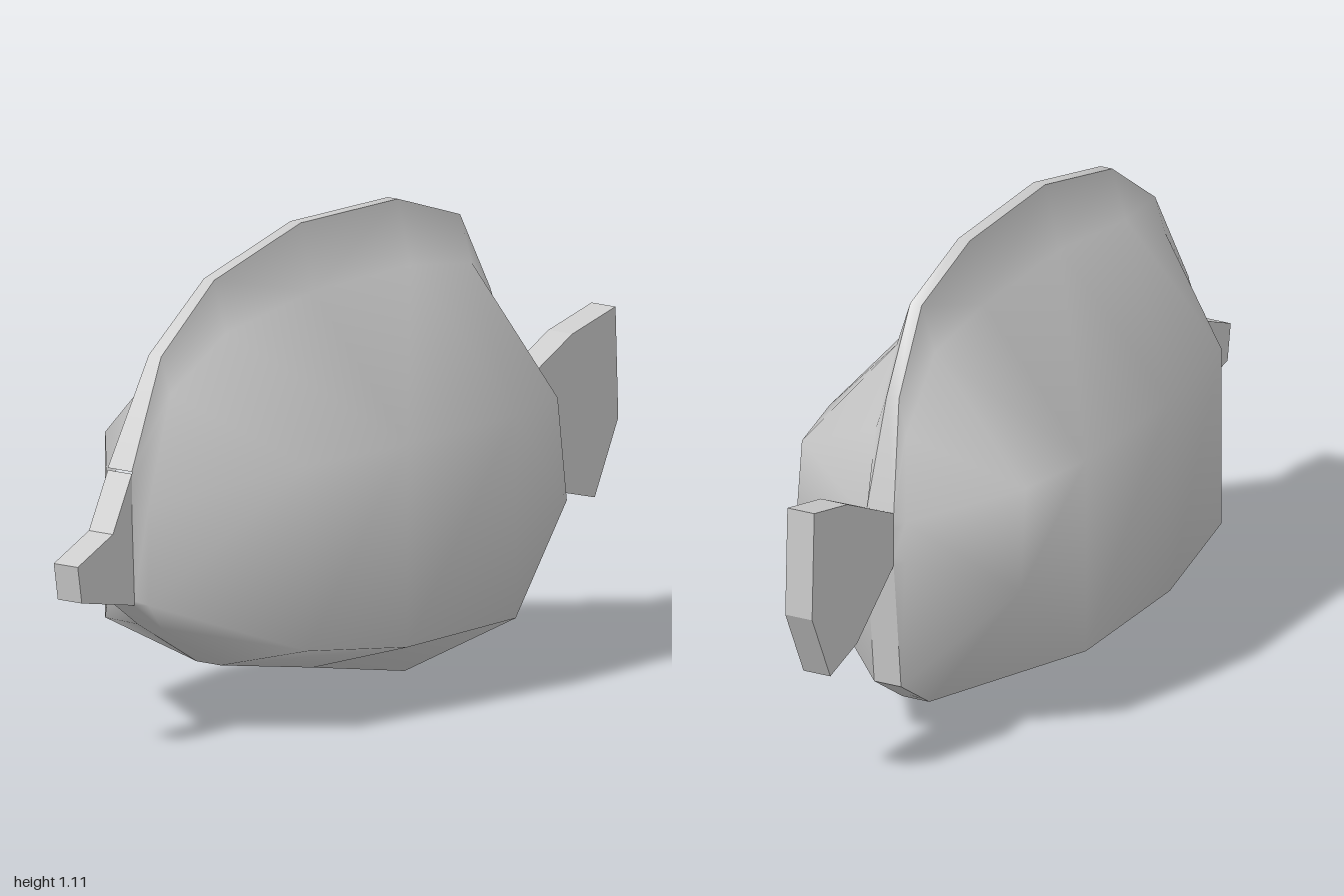
import * as THREE from 'three';

const material = new THREE.MeshStandardMaterial({ color: 0xcccccc });

// Long lines of the left flank, back ridge to belly keel: [x, y, half thickness], nose to tail
const lines = [
  [[-0.8, 0.64, 0.035], [-0.67, 0.885, 0.018], [-0.47, 1.03, 0.015], [-0.15, 1.11, 0.015],
    [0.21, 1.105, 0.015], [0.44, 1.03, 0.015], [0.55, 0.84, 0.016], [0.61, 0.58, 0.035]],
  [[-0.8, 0.6, 0.035], [-0.67, 0.8, 0.045], [-0.47, 0.91, 0.05], [-0.15, 0.955, 0.053],
    [0.21, 0.955, 0.053], [0.44, 0.92, 0.05], [0.56, 0.755, 0.04], [0.61, 0.56, 0.035]],
  [[-0.8, 0.55, 0.035], [-0.77, 0.555, 0.06], [-0.48, 0.635, 0.295], [-0.16, 0.635, 0.335],
    [0.24, 0.635, 0.335], [0.45, 0.635, 0.292], [0.595, 0.555, 0.058], [0.61, 0.54, 0.035]],
  [[-0.79, 0.335, 0.035], [-0.77, 0.325, 0.06], [-0.48, 0.2, 0.295], [-0.16, 0.16, 0.335],
    [0.24, 0.16, 0.335], [0.48, 0.39, 0.295], [0.598, 0.46, 0.058], [0.61, 0.47, 0.035]],
  [[-0.79, 0.325, 0.035], [-0.69, 0.255, 0.035], [-0.47, 0.13, 0.035], [-0.13, 0.067, 0.035],
    [0.21, 0.001, 0.035], [0.44, 0.047, 0.035], [0.575, 0.135, 0.035], [0.61, 0.45, 0.035]],
];

// Smooth surface through parallel lines of points, each cell split so that it bulges outward
function skin(name, rows) {
  const n = rows[0].length;
  const points = rows.flat();
  const bulge = (a, b) => Math.abs(points[a][2]) + Math.abs(points[b][2]);
  const index = [];
  for (let j = 0; j < rows.length - 1; j++) {
    for (let i = 0; i < n - 1; i++) {
      const a = j * n + i, b = a + n, c = b + 1, d = a + 1;
      if (bulge(a, c) > bulge(b, d)) index.push(a, b, c, a, c, d);
      else index.push(a, b, d, b, c, d);
    }
  }
  const geometry = new THREE.BufferGeometry();
  geometry.setAttribute('position', new THREE.Float32BufferAttribute(points.flat(), 3));
  geometry.setIndex(index);
  geometry.computeVertexNormals();
  const mesh = new THREE.Mesh(geometry, material);
  mesh.name = name;
  return mesh;
}

// Flat plate cut from an outline in the xy plane
function plate(name, outline) {
  const shape = new THREE.Shape(outline.map(([x, y]) => new THREE.Vector2(x, y)));
  const geometry = new THREE.ExtrudeGeometry(shape, { depth: 0.07, bevelEnabled: false });
  geometry.translate(0, 0, -0.035);
  const mesh = new THREE.Mesh(geometry, material);
  mesh.name = name;
  return mesh;
}

export function createModel() {
  const group = new THREE.Group();
  group.name = 'fish';

  // Body: two smooth flanks joined by the narrow back ridge and belly keel
  const right = lines.map((line) => line.map(([x, y, z]) => [x, y, -z]));
  const keel = [lines.at(-1), right.at(-1)];
  group.add(
    skin('leftFlank', lines),
    skin('rightFlank', [...right].reverse()),
    skin('backRidge', [right[0], lines[0]]),
    skin('bellyKeel', keel.map((line) => line.slice(0, 7))),
    skin('rearKeel', keel.map((line) => line.slice(6))),
  );

  // Snout and tail fin
  group.add(
    plate('snout', [[-0.79, 0.325], [-0.8, 0.635], [-0.87, 0.505], [-1, 0.45], [-0.985, 0.363]]),
    plate('tailFin', [[0.61, 0.45], [0.785, 0.322], [0.913, 0.288], [1, 0.46], [0.99, 0.722],
      [0.83, 0.685], [0.61, 0.58]]),
  );
  return group;
}
